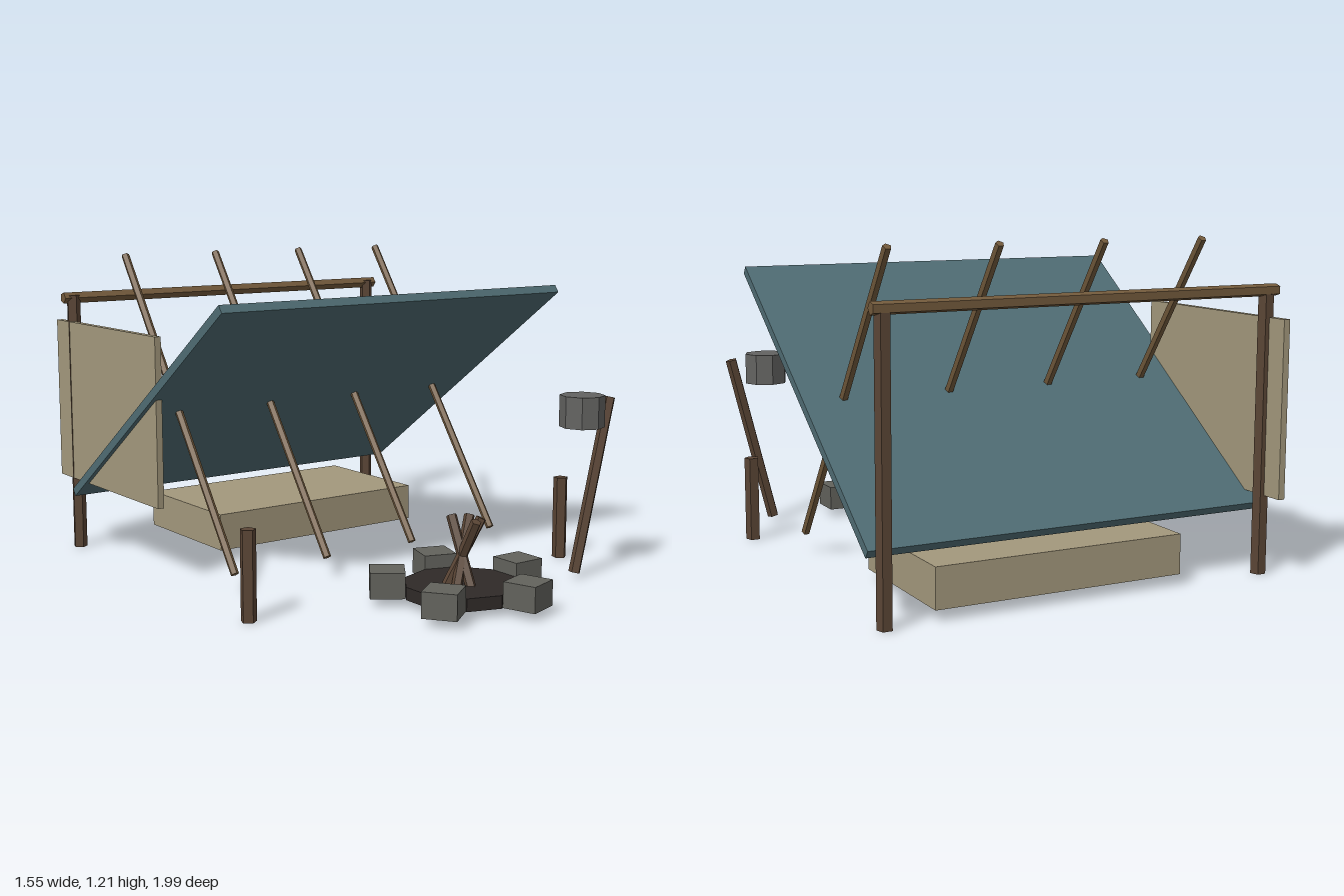
import * as THREE from 'three';

const mat = (color) => new THREE.MeshStandardMaterial({ color, flatShading: true });
const wood = mat(0x5a4535);
const paleWood = mat(0x735a3c);
const cloth = mat(0x4f6c73);
const canvas = mat(0xa3987c);
const stone = mat(0x62625c);
const ash = mat(0x2f2a28);
const metal = mat(0x636361);

export function createModel() {
  const group = new THREE.Group();

  const add = (name, geometry, material, x, y, z) => {
    const mesh = new THREE.Mesh(geometry, material);
    mesh.name = name;
    mesh.position.set(x, y, z);
    group.add(mesh);
    return mesh;
  };
  const box = (name, w, h, d, material, x, y, z) =>
    add(name, new THREE.BoxGeometry(w, h, d), material, x, y, z);

  // A rough five-sided pole between two points
  const up = new THREE.Vector3(0, 1, 0);
  const pole = (name, a, b, radius, material) => {
    const from = new THREE.Vector3(...a);
    const span = new THREE.Vector3(...b).sub(from);
    const length = span.length();
    const mid = from.addScaledVector(span, 0.5);
    const mesh = add(name, new THREE.CylinderGeometry(radius, radius, length, 5),
      material, mid.x, mid.y, mid.z);
    mesh.quaternion.setFromUnitVectors(up, span.normalize());
    return mesh;
  };

  // Shelter frame: tall back posts, short front stakes, ridge pole
  for (const x of [-0.735, 0.735]) {
    pole('backPost', [x, 0, -0.895], [x, 1.035, -0.895], 0.028, wood);
    pole('frontStake', [x, 0, 0.4], [x, 0.325, 0.4], 0.029, wood);
  }
  pole('ridgePole', [-0.777, 1.025, -0.9], [0.777, 1.025, -0.9], 0.023, paleWood);

  // Sloping rafters
  for (let i = 0; i < 4; i++) {
    const x = -0.608 + i * 0.411;
    pole('rafter', [x, 0.08, 0.107], [x, 1.2, -0.683], 0.016, paleWood);
  }

  // Tilted roof sheet
  const roof = box('roofSheet', 1.555, 0.033, 1.426, cloth, 0, 0.653, -0.27);
  roof.rotation.x = -0.62;

  // Side screen and bedding
  box('sideScreen', 0.025, 0.64, 0.82, canvas, -0.747, 0.61, -0.59);
  box('bedding', 0.95, 0.145, 0.55, canvas, 0.085, 0.1125, -0.625);

  // Fire pit with a ring of stones
  const fireZ = 0.66;
  add('firePit', new THREE.CylinderGeometry(0.212, 0.212, 0.047, 10), ash, 0, 0.052, fireZ);
  for (let i = 0; i < 5; i++) {
    const a = (i * Math.PI * 2) / 5;
    const block = box('fireStone', 0.126, 0.094, 0.126, stone,
      Math.cos(a) * 0.267, 0.078, fireZ + Math.sin(a) * 0.267);
    block.rotation.y = -a;
  }

  // Crossed logs fanned out over the pit
  for (const a of [-1.5, -0.5, 0.5, 1.5]) {
    const dx = Math.cos(a) * 0.068;
    const dz = Math.sin(a) * 0.068;
    pole('fireLog', [-dx, 0.04, fireZ - dz], [dx, 0.308, fireZ + dz], 0.02, wood);
  }

  // Leaning pole with the cooking pot
  pole('potPole', [0.562, 0.02, fireZ], [0.727, 0.68, fireZ], 0.023, wood);
  add('cookingPot', new THREE.CylinderGeometry(0.085, 0.085, 0.12, 8), metal, 0.582, 0.64, fireZ);

  return group;
}
